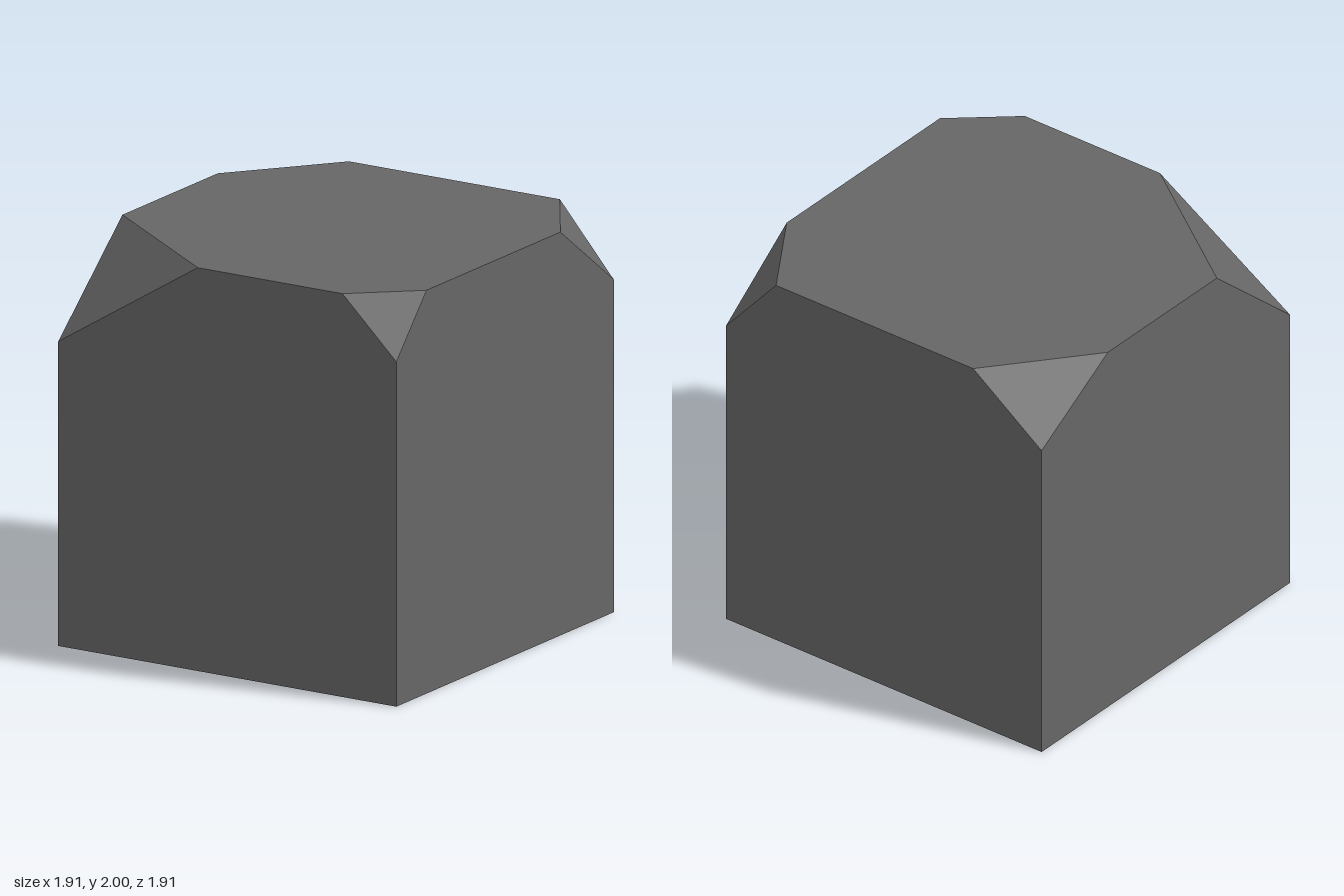
import * as THREE from 'three';
import { ConvexGeometry } from 'three/addons/geometries/ConvexGeometry.js';

const HALF = 0.957; // half of the width and depth
const HEIGHT = 2;

// Each upper corner: side signs, then how far the cut runs along x, y and z
const CORNERS = [
  { sx: -1, sz: 1, cut: [0.79, 0.49, 0.565] },
  { sx: 1, sz: 1, cut: [0.305, 0.29, 0.265] },
  { sx: 1, sz: -1, cut: [0.305, 0.35, 0.47] },
  { sx: -1, sz: -1, cut: [0.415, 0.3, 0.51] },
];

export function createModel() {
  const stone = new THREE.MeshStandardMaterial({ color: 0x666666 });
  stone.name = 'grey stone';

  // One foot point and three cut points for each corner
  const points = [];
  for (const { sx, sz, cut: [cx, cy, cz] } of CORNERS) {
    const x = sx * HALF;
    const z = sz * HALF;
    points.push(
      new THREE.Vector3(x, 0, z),
      new THREE.Vector3(x, HEIGHT - cy, z),
      new THREE.Vector3(x - sx * cx, HEIGHT, z),
      new THREE.Vector3(x, HEIGHT, z - sz * cz),
    );
  }

  // Block with four chipped upper corners
  const block = new THREE.Mesh(new ConvexGeometry(points), stone);
  block.name = 'chippedBlock';

  const model = new THREE.Group();
  model.name = 'stoneBlock';
  model.add(block);
  return model;
}
